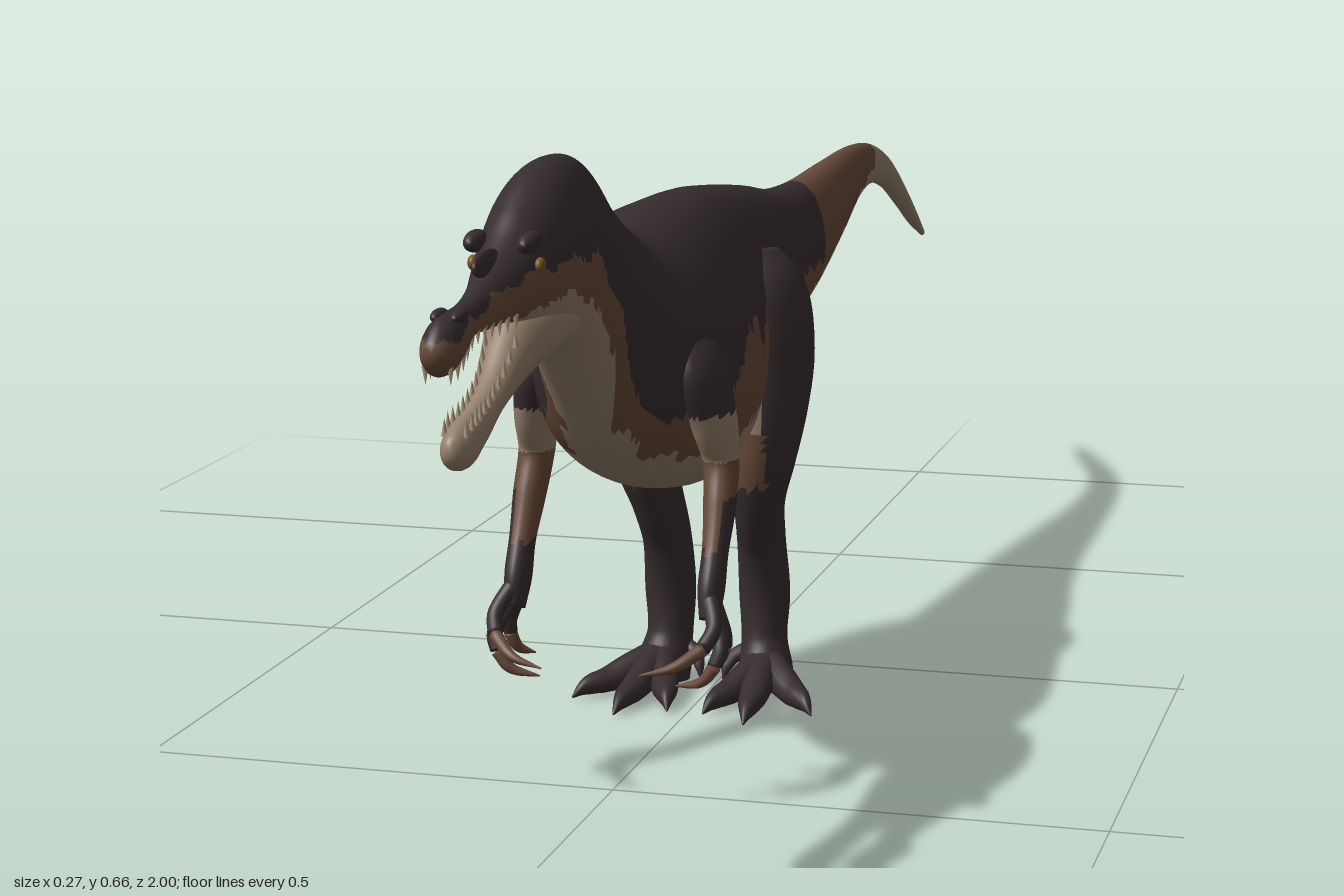
import * as THREE from 'three';

const paint = (name, color) => Object.assign(new THREE.MeshStandardMaterial({ color }), { name });

// Smooth (or straight) lookup through rows of numbers, the first number being the position
function table(rows, Type = THREE.CubicInterpolant) {
  const n = rows[0].length - 1;
  const ip = new Type(rows.map(r => r[0]), rows.flatMap(r => r.slice(1)), n, new Float32Array(n));
  return t => Array.from(ip.evaluate(t));
}

// Closed skin over rings ring(u, angle); pick(x, y, z) gives the material index of each triangle
function skin(name, nu, nv, ring, mats, pick = () => 0) {
  const pos = [], at = (i, j) => i * nv + (j % nv);
  for (let i = 0; i <= nu; i++)
    for (let j = 0; j < nv; j++) pos.push(...ring(i / nu, (j / nv) * Math.PI * 2));
  for (const i of [0, nu]) {
    const c = [0, 0, 0];
    for (let j = 0; j < nv; j++) for (let k = 0; k < 3; k++) c[k] += pos[at(i, j) * 3 + k] / nv;
    pos.push(...c);
  }
  const faces = mats.map(() => []);
  const add = (...t) => {
    const m = [0, 1, 2].map(k => t.reduce((s, v) => s + pos[v * 3 + k], 0) / 3);
    faces[pick(...m)].push(...t);
  };
  const first = (nu + 1) * nv;
  for (let j = 0; j < nv; j++) {
    add(first, at(0, j + 1), at(0, j));
    add(first + 1, at(nu, j), at(nu, j + 1));
    for (let i = 0; i < nu; i++) {
      add(at(i, j), at(i, j + 1), at(i + 1, j + 1));
      add(at(i, j), at(i + 1, j + 1), at(i + 1, j));
    }
  }
  const g = new THREE.BufferGeometry();
  g.setAttribute('position', new THREE.Float32BufferAttribute(pos, 3));
  g.setIndex(faces.flat());
  g.computeVertexNormals();
  let start = 0;
  faces.forEach((f, k) => { if (f.length) g.addGroup(start, f.length, k); start += f.length; });
  const mesh = new THREE.Mesh(g, mats);
  mesh.name = name;
  return mesh;
}

// Limb through rows [x, y, z, side radius, depth radius]; s = -1 mirrors it
function limb(name, rows, s, mats, pick, nu = 40, nv = 24) {
  const f = table(rows.map((r, i) => [i, ...r])), end = rows.length - 1;
  const point = t => { const p = f(t); return new THREE.Vector3(p[0] * s, p[1], p[2]); };
  return skin(name, nu, nv, (u, a) => {
    const t = u * end, r = f(t), c = point(t);
    const dir = point(Math.min(t + 0.05, end)).sub(point(Math.max(t - 0.05, 0))).normalize();
    const side = new THREE.Vector3(1, 0, 0).addScaledVector(dir, -dir.x).normalize();
    const up = dir.clone().cross(side);
    return c.addScaledVector(side, Math.cos(a) * r[3]).addScaledVector(up, Math.sin(a) * r[4]).toArray();
  }, mats, pick);
}

// Body-like loft through rows [z, top, bottom, half width], running from front to back
function loft(name, rows, nu, nv, mats, pick) {
  const f = table(rows.map(r => [-r[0], ...r.slice(1)]));
  const z0 = rows[0][0], z1 = rows[rows.length - 1][0];
  return skin(name, nu, nv, (u, a) => {
    const z = z0 + (z1 - z0) * u, [top, bot, w] = f(-z), up = -Math.sin(a);
    return [w * Math.cos(a) * (1 - 0.1 * up), (top + bot) / 2 + up * (top - bot) / 2, z];
  }, mats, pick);
}

const BODY = [
  [1, .547, .527, .009], [.985, .56, .515, .016], [.96, .565, .52, .017], [.92, .568, .535, .013],
  [.87, .582, .535, .018], [.82, .608, .533, .029], [.79, .63, .525, .035], [.74, .656, .505, .044],
  [.68, .664, .485, .046], [.62, .653, .43, .047], [.56, .61, .37, .055], [.5, .574, .332, .08],
  [.42, .578, .298, .1], [.33, .578, .275, .1], [.23, .575, .262, .088], [.15, .567, .275, .08],
  [.08, .558, .302, .072], [0, .547, .335, .063], [-.12, .527, .36, .052], [-.25, .52, .382, .042],
  [-.4, .524, .418, .031], [-.55, .526, .457, .02], [-.65, .516, .464, .016], [-.75, .488, .445, .013],
  [-.85, .44, .405, .01], [-.93, .395, .37, .008], [-1, .354, .345, .004]];

const JAW = [[.96, .455, .436, .007], [.945, .464, .426, .014], [.9, .474, .435, .014],
  [.86, .49, .455, .015], [.8, .54, .475, .025], [.74, .56, .487, .036], [.7, .55, .49, .035]];

// Lower edge of the dark back and upper edge of the pale belly, along z
const DARK = [[1, .545], [.96, .55], [.9, .56], [.84, .575], [.76, .58], [.68, .575], [.62, .52],
  [.58, .45], [.55, .4], [.5, .385], [.46, .41], [.42, .385], [.38, .42], [.33, .45], [.28, .45],
  [.25, .41], [.2, .45], [.12, .42], [0, .425], [-.08, .44], [-.22, .43], [-.245, .5], [-.26, .6], [-1, .6]];
const PALE = [[1, .5], [.88, .5], [.78, .55], [.72, .545], [.65, .51], [.61, .46], [.57, .39],
  [.5, .345], [.4, .33], [.25, .34], [.15, .36], [.08, .35], [0, .375], [-.22, .41], [-.45, .455],
  [-.6, .49], [-.66, .52], [-.72, .6], [-1, .6]];

export function createModel() {
  const root = new THREE.Group();
  root.name = 'dinosaur';
  const dark = paint('dark hide', 0x372d2f), brown = paint('brown hide', 0x694a39);
  const tan = paint('pale hide', 0x95816c), ivory = paint('tooth', 0xa8947a), amber = paint('eye', 0x7a5426);
  const hide = [dark, brown, tan];

  // Trunk, head and tail in one skin with three bands of colour
  const line = rows => table(rows.map(r => [-r[0], r[1]]), THREE.LinearInterpolant);
  const darkEdge = line(DARK), paleEdge = line(PALE);
  root.add(loft('body', BODY, 260, 64, hide, (x, y, z) => {
    const ragged = 0.004 * Math.sin(z * 95) + 0.002 * Math.sin(z * 230);
    if (y < paleEdge(-z)[0] + ragged) return 2;
    return y > darkEdge(-z)[0] + ragged ? 0 : 1;
  }));
  root.add(loft('lowerJaw', JAW, 40, 24, hide, (x, y, z) => (z < .83 && y > .535 ? 1 : 2)));

  // Teeth along both jaws
  const upper = table(BODY.slice(0, 8).map(r => [-r[0], ...r.slice(1)]));
  const lower = table(JAW.map(r => [-r[0], ...r.slice(1)]));
  const toothShape = new THREE.ConeGeometry(.003, .016, 6);
  for (const s of [1, -1]) {
    for (let i = 0; i < 11; i++) {
      for (const [jaw, z] of [[upper, .985 - i * .015], [lower, .945 - i * .012]]) {
        const [top, bot, w] = jaw(-z), isUp = jaw === upper;
        const tooth = new THREE.Mesh(toothShape, ivory);
        tooth.name = 'tooth';
        tooth.position.set(s * w * .7, isUp ? bot + .001 : top, z);
        if (isUp) tooth.rotation.x = Math.PI;
        root.add(tooth);
      }
    }
    // Eye, brow ridge and nostril bump
    for (const [name, mat, p, r] of [
      ['eye', amber, [.031, .583, .805], [.005, .007, .008]],
      ['brow', dark, [.025, .604, .815], [.009, .01, .022]],
      ['nostrilBump', dark, [.009, .562, .955], [.006, .006, .016]]]) {
      const m = new THREE.Mesh(new THREE.SphereGeometry(1, 16, 12), mat);
      m.name = name;
      m.position.set(p[0] * s, p[1], p[2]);
      m.scale.set(...r);
      root.add(m);
    }
  }
  const crest = new THREE.Mesh(new THREE.SphereGeometry(1, 16, 12), dark);
  crest.name = 'noseCrest';
  crest.position.set(0, .592, .86);
  crest.scale.set(.005, .012, .035);
  root.add(crest);

  for (const s of [1, -1]) {
    const side = s > 0 ? 'left' : 'right';

    // Hind leg: dark outside and below, brown knee, pale inner thigh
    const leg = new THREE.Group();
    leg.name = side + 'Leg';
    leg.add(limb('thighAndShin', [
      [.046, .49, .115, .025, .05], [.058, .45, .122, .045, .08], [.067, .39, .136, .048, .08],
      [.071, .33, .152, .042, .061], [.066, .27, .153, .034, .048], [.058, .22, .137, .027, .04],
      [.054, .17, .113, .026, .035], [.054, .11, .099, .028, .032], [.054, .06, .1, .025, .031],
      [.058, .025, .11, .03, .034], [.058, .006, .112, .028, .034]], s, hide, (x, y) => {
      if (y < .245 + .004 * Math.sin(x * 400) || Math.abs(x) > .08) return 0;
      return y > .31 ? (y > .42 ? 0 : 2) : 1;
    }, 80, 32));
    for (const [x, z] of [[.02, .235], [.072, .262], [.134, .212]]) {
      const along = (k, y, r, h) => [.06 + (x - .06) * k, y, .115 + (z - .115) * k, r, h];
      leg.add(limb('toe', [along(0, .032, .02, .022), along(.35, .024, .017, .019),
        along(.6, .018, .015, .014), along(.75, .017, .012, .012), along(.88, .014, .007, .009),
        along(1, .006, .001, .001)], s, [dark], undefined, 20, 14));
    }
    leg.add(limb('dewclaw', [[.04, .045, .1, .009, .009], [.023, .037, .108, .008, .008],
      [.016, .026, .118, .006, .006], [.013, .012, .124, .001, .001]], s, [dark], undefined, 14, 10));
    root.add(leg);

    // Arm: dark shoulder, pale elbow, brown forearm, dark hand
    const arm = new THREE.Group();
    arm.name = side + 'Arm';
    arm.add(limb('armAndHand', [
      [.07, .46, .47, .015, .03], [.08, .43, .463, .024, .045], [.091, .38, .45, .022, .037],
      [.096, .335, .438, .018, .025], [.099, .29, .455, .016, .022], [.1, .25, .475, .013, .018],
      [.1, .215, .49, .013, .021], [.1, .185, .5, .009, .016]], s, hide, (x, y) => {
      if (y > .385 || y < .25 + .004 * Math.sin(x * 500)) return 0;
      if (Math.abs(x) > .106 && y < .3) return 0;
      return y > .335 ? 2 : 1;
    }, 60, 24));
    // Each finger: knuckle points, then the hooked claw
    for (const [a, b, c, d, e] of [
      [[.1, .21, .5], [.112, .185, .525], [.106, .168, .545], [.082, .153, .565], [.05, .145, .572]],
      [[.1, .2, .495], [.116, .165, .515], [.112, .145, .522], [.098, .128, .522], [.07, .12, .515]],
      [[.1, .2, .485], [.111, .17, .485], [.112, .155, .483], [.105, .138, .478], [.09, .13, .468]]]) {
      arm.add(limb('finger', [[...a, .009, .01], [...b, .008, .009], [...c, .0075, .008]], s, [dark], undefined, 14, 12));
      arm.add(limb('claw', [[...c, .007, .0075], [...d, .005, .006], [...e, .0008, .0008]], s, [brown], undefined, 14, 10));
    }
    root.add(arm);
  }
  return root;
}
